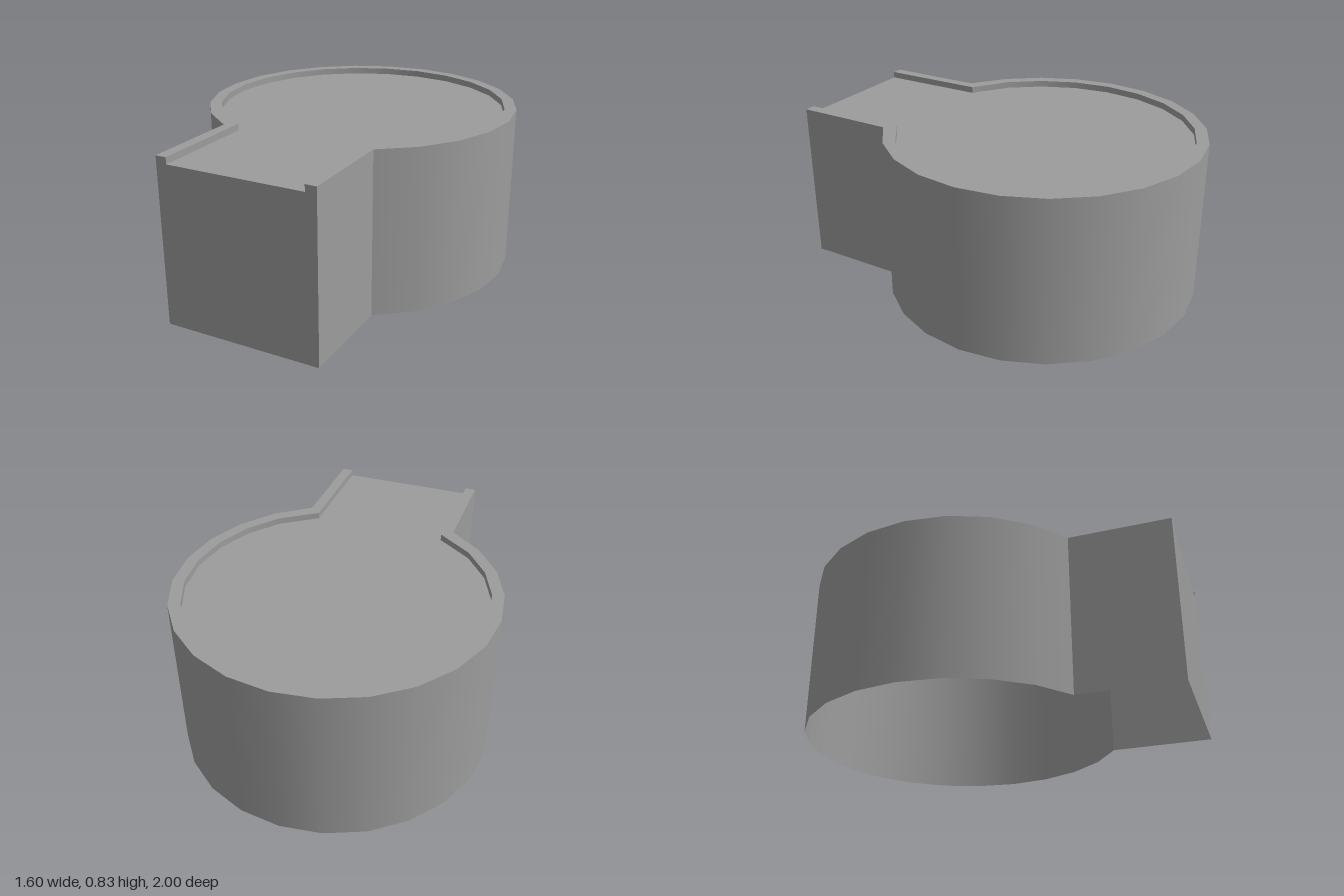
import * as THREE from 'three';

const HEIGHT = 0.833, FLOOR = 0.8, CENTRE_Z = -0.2, FRONT_Z = 1;

// Keyhole outline [x, z]: from the front left corner round the drum to the front right
function outline(radius, halfWidth, cornerZ) {
  const pts = [[halfWidth, FRONT_Z], [halfWidth, cornerZ]];
  for (let i = 3; i <= 21; i++) {
    const a = i * Math.PI / 12;
    pts.push([radius * Math.sin(a), CENTRE_Z + radius * Math.cos(a)]);
  }
  pts.push([-halfWidth, cornerZ], [-halfWidth, FRONT_Z]);
  return pts;
}

// Strip of quads between two outlines at given heights, smooth round the drum, sharp at corners
function band(a, ya, b, yb) {
  const lower = a.map(([x, z]) => new THREE.Vector3(x, ya, z));
  const upper = b.map(([x, z]) => new THREE.Vector3(x, yb, z));
  const faces = lower.slice(1).map((q, i) =>
    q.clone().sub(lower[i]).cross(upper[i].clone().sub(lower[i])).normalize());
  const blend = (n, other) =>
    (other && n.dot(other) > 0.9 ? n.clone().add(other).normalize() : n).toArray();

  const pos = [], nor = [];
  faces.forEach((n, i) => {
    const start = blend(n, faces[i - 1]), end = blend(n, faces[i + 1]);
    const p = lower[i].toArray(), q = lower[i + 1].toArray();
    const r = upper[i + 1].toArray(), s = upper[i].toArray();
    pos.push(...p, ...q, ...r, ...p, ...r, ...s);
    nor.push(...start, ...end, ...end, ...start, ...end, ...start);
  });
  const geo = new THREE.BufferGeometry();
  geo.setAttribute('position', new THREE.Float32BufferAttribute(pos, 3));
  geo.setAttribute('normal', new THREE.Float32BufferAttribute(nor, 3));
  return geo;
}

function flat(points) {
  return new THREE.ShapeGeometry(new THREE.Shape(points.map(([x, y]) => new THREE.Vector2(x, y))));
}

export function createModel() {
  const group = new THREE.Group();
  group.name = 'keyholeBasin';
  const material = new THREE.MeshStandardMaterial({ color: 0x9c9c9c, side: THREE.DoubleSide });
  const add = (name, geometry) => {
    const mesh = new THREE.Mesh(geometry, material);
    mesh.name = name;
    group.add(mesh);
  };

  const outer = outline(0.8, 0.4, 0.493);
  const inner = outline(0.74, 0.345, 0.45);

  // Thin shell, open underneath
  add('outerWall', band(outer, 0, outer, HEIGHT));
  add('rim', band(outer, HEIGHT, inner, HEIGHT));
  add('innerStep', band(inner, HEIGHT, inner, FLOOR));

  // Sunken floor
  const floor = flat(inner.map(([x, z]) => [x, -z]));
  floor.rotateX(-Math.PI / 2).translate(0, FLOOR, 0);
  add('floor', floor);

  // Front end, notched down to the floor between the rims
  const front = flat([[-0.4, 0], [0.4, 0], [0.4, HEIGHT], [0.345, HEIGHT],
    [0.345, FLOOR], [-0.345, FLOOR], [-0.345, HEIGHT], [-0.4, HEIGHT]]);
  front.translate(0, 0, FRONT_Z);
  add('frontWall', front);

  return group;
}
